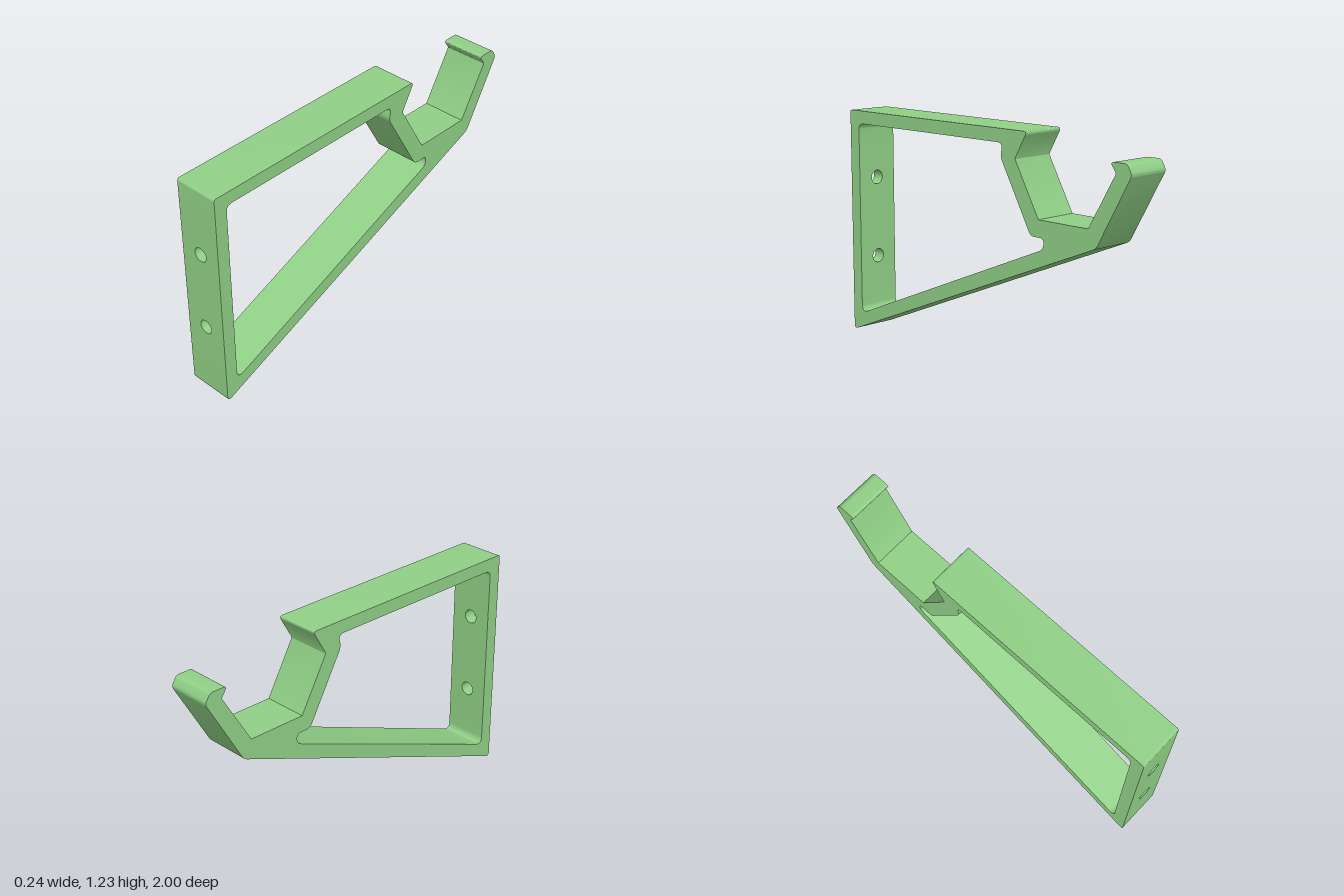
import * as THREE from 'three';
import { toCreasedNormals } from 'three/addons/utils/BufferGeometryUtils.js';

const HALF_WIDTH = 0.122;
const PLATE_LOW = 0.25, PLATE_HIGH = 1.05; // drilled section of the wall plate

// Side profile of the bracket: [z, y, corner cut]
const PROFILE = [
  // top arm and its lip
  [1, PLATE_HIGH, 0], [1, 1.23, 0.015], [-0.34, 1.23, 0.025], [-0.26, 1.09, 0.008],
  // cradle and front hook
  [-0.42, 0.81, 0], [-0.74, 0.81, 0], [-0.905, 1.088, 0.008],
  [-0.868, 1.14, 0.025], [-0.97, 1.14, 0.018], [-1, 1.09, 0.018],
  // sloping brace
  [-0.79, 0.72, 0.02], [1, -0.005, 0.03], [1, PLATE_LOW, 0],
  // inside of the frame
  [0.93, PLATE_LOW, 0], [0.93, 0.1, 0.05], [-0.455, 0.668, 0.03],
  [-0.455, 0.722, 0.024], [-0.368, 0.722, 0.025], [-0.16, 1.09, 0.025],
  [-0.175, 1.16, 0.035], [0.93, 1.16, 0.035], [0.93, PLATE_HIGH, 0],
];

// Closed shape with rounded corners; z runs against the shape's x axis
function roundedShape(points) {
  const shape = new THREE.Shape();
  const corners = points.map(([z, y, cut]) => ({ p: new THREE.Vector2(-z, y), cut }));
  corners.forEach(({ p, cut }, i) => {
    const prev = corners[(i + corners.length - 1) % corners.length].p;
    const next = corners[(i + 1) % corners.length].p;
    const a = prev.clone().sub(p).setLength(cut).add(p);
    const b = next.clone().sub(p).setLength(cut).add(p);
    if (i === 0) shape.moveTo(a.x, a.y);
    else shape.lineTo(a.x, a.y);
    if (cut > 0) shape.quadraticCurveTo(p.x, p.y, b.x, b.y);
  });
  shape.closePath();
  return shape;
}

export function createModel() {
  const group = new THREE.Group();
  group.name = 'wallBracket';
  const green = new THREE.MeshStandardMaterial({ color: 0x90d086 });
  green.name = 'green';

  const add = (name, geometry) => {
    const mesh = new THREE.Mesh(toCreasedNormals(geometry, 0.6), green);
    mesh.name = name;
    group.add(mesh);
  };

  // Frame, cradle and hook in one extrusion across the width
  const frame = new THREE.ExtrudeGeometry(roundedShape(PROFILE), {
    depth: HALF_WIDTH * 2, bevelEnabled: false, curveSegments: 8,
  });
  frame.translate(0, 0, -HALF_WIDTH).rotateY(Math.PI / 2);
  add('bracketFrame', frame);

  // Wall plate with two screw holes
  const plate = new THREE.Shape([
    new THREE.Vector2(-HALF_WIDTH, PLATE_LOW), new THREE.Vector2(HALF_WIDTH, PLATE_LOW),
    new THREE.Vector2(HALF_WIDTH, PLATE_HIGH), new THREE.Vector2(-HALF_WIDTH, PLATE_HIGH),
  ]);
  for (const y of [0.41, 0.853]) {
    plate.holes.push(new THREE.Path().absarc(0, y, 0.038, 0, Math.PI * 2, true));
  }
  const plateGeometry = new THREE.ExtrudeGeometry(plate, {
    depth: 0.07, bevelEnabled: false, curveSegments: 32,
  });
  plateGeometry.translate(0, 0, 0.93);
  add('wallPlate', plateGeometry);

  return group;
}
